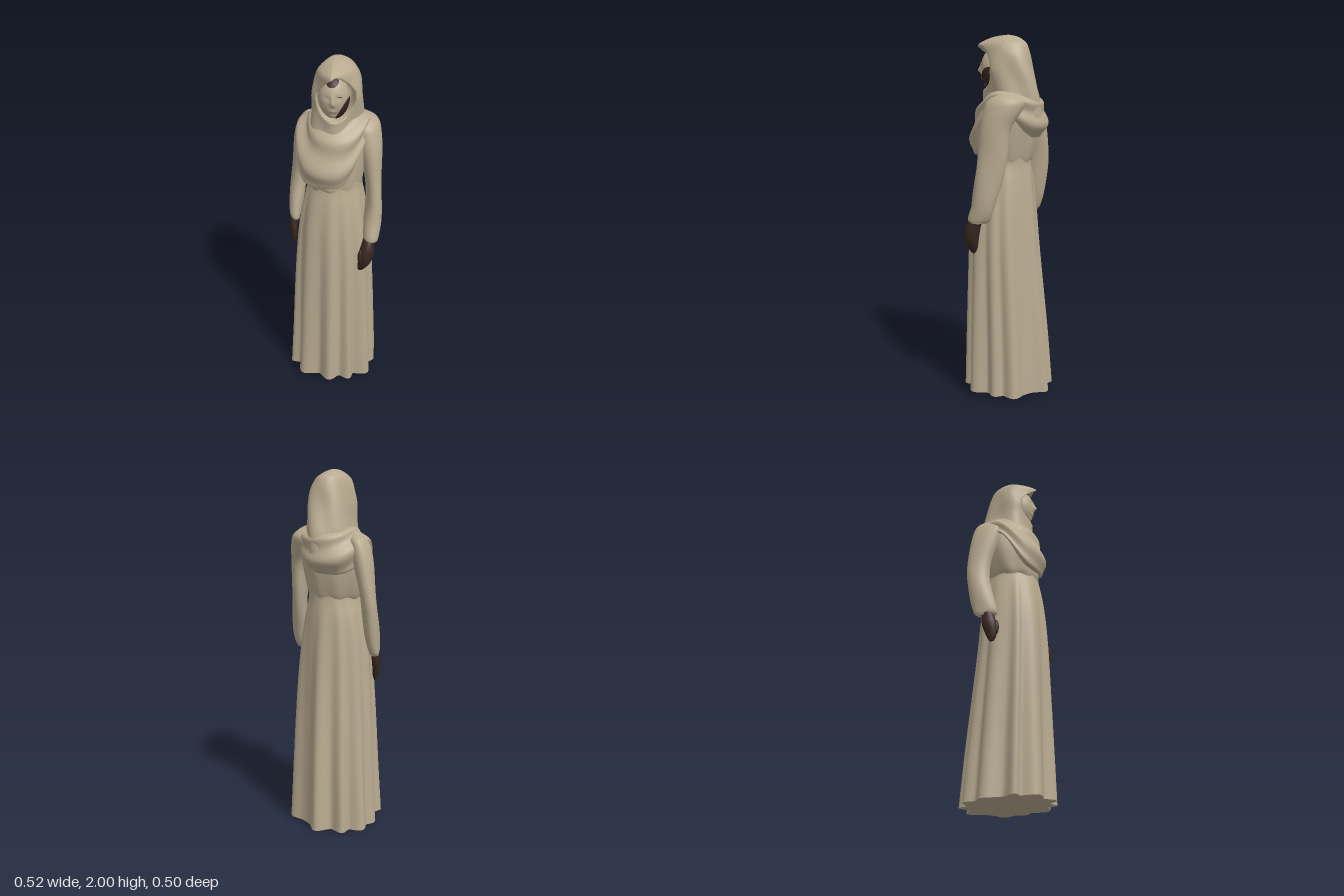
import * as THREE from 'three';

const cloth = new THREE.MeshStandardMaterial({ color: 0xb8aa90, side: THREE.DoubleSide });
cloth.name = 'beigeCloth';
const dark = new THREE.MeshStandardMaterial({ color: 0x38271f, side: THREE.DoubleSide });
dark.name = 'darkSkin';

const gauss = (d, w) => Math.exp(-(d * d) / (w * w));
const angleGap = (a, b) => Math.atan2(Math.sin(a - b), Math.cos(a - b));
const { smoothstep, lerp } = THREE.MathUtils;

// The upper body is turned slightly towards its right
const yaw = 0.3, up = new THREE.Vector3(0, 1, 0);
const turn = p => p.applyAxisAngle(up, -yaw);

// Smooth closed body through oval rings [y, xMin, xMax, zFront, zBack], listed
// bottom to top. fold(angle, t, y) swells a ring; shift(point, angle, t) bends it.
function loft(name, material, rings, { seg = 24, rows = 24, fold = () => 0, shift = () => {} } = {}) {
  const xs = new THREE.CatmullRomCurve3(rings.map(r => new THREE.Vector3(r[1], r[0], r[2])), false, 'catmullrom', 0.5);
  const zs = new THREE.CatmullRomCurve3(rings.map(r => new THREE.Vector3(r[3], r[0], r[4])), false, 'catmullrom', 0.5);
  const pos = [], index = [];
  for (let i = 0; i <= rows; i++) {
    const t = i / rows, a = xs.getPoint(t), b = zs.getPoint(t);
    for (let j = 0; j < seg; j++) {
      const th = j / seg * Math.PI * 2, s = Math.sin(th), c = Math.cos(th), f = fold(th, t, a.y);
      const p = new THREE.Vector3(
        (a.x + a.z) / 2 + s * ((a.z - a.x) / 2 + f), a.y,
        (b.x + b.z) / 2 + c * ((b.x - b.z) / 2 + f));
      shift(p, th, t);
      pos.push(p.x, p.y, p.z);
      if (i < rows) {
        const k = (j + 1) % seg, q = i * seg;
        index.push(q + j, q + k, q + seg + k, q + j, q + seg + k, q + seg + j);
      }
    }
  }
  // End caps with their own corners so the rims stay crisp
  for (const row of [0, rows]) {
    const start = pos.length / 3, mid = [0, 0, 0];
    for (let j = 0; j < seg; j++) for (let k = 0; k < 3; k++) {
      const v = pos[(row * seg + j) * 3 + k];
      pos.push(v);
      mid[k] += v / seg;
    }
    pos.push(...mid);
    for (let j = 0; j < seg; j++) {
      const k = (j + 1) % seg;
      index.push(start + seg, ...(row ? [start + j, start + k] : [start + k, start + j]));
    }
  }
  const g = new THREE.BufferGeometry();
  g.setAttribute('position', new THREE.Float32BufferAttribute(pos, 3));
  g.setIndex(index);
  g.computeVertexNormals();
  const mesh = new THREE.Mesh(g, material);
  mesh.name = name;
  return mesh;
}

function ellipsoid(name, material, center, size, geometry = new THREE.SphereGeometry(1, 24, 18)) {
  const mesh = new THREE.Mesh(geometry, material);
  mesh.name = name;
  mesh.position.set(...center);
  mesh.scale.set(...size);
  return mesh;
}

// Round patch of a unit sphere facing a direction
function patch(dir, angle) {
  const g = new THREE.SphereGeometry(1, 24, 8, 0, Math.PI * 2, 0, angle);
  return g.applyQuaternion(new THREE.Quaternion().setFromUnitVectors(up, new THREE.Vector3(...dir).normalize()));
}

function createSkirt() {
  // Pleats sticking out at the hem: [x, z, depth, half width in radians]
  const pleats = [[-0.265, 0.065, 0.055, 0.13], [-0.18, 0.17, 0.055, 0.26], [-0.03, 0.25, 0.05, 0.2],
    [0.09, 0.25, 0.055, 0.16], [0.2, 0.19, 0.07, 0.26], [0.26, 0.06, 0.045, 0.2], [0.26, -0.06, 0.055, 0.22],
    [0.1, -0.235, 0.055, 0.2], [-0.05, -0.255, 0.055, 0.16], [-0.15, -0.2, 0.06, 0.22], [-0.22, -0.11, 0.04, 0.25]]
    .map(([x, z, d, w]) => [Math.atan2(x, z), d, w]);
  return loft('skirt', cloth, [
    [0.0, -0.215, 0.215, 0.205, -0.2],
    [0.3, -0.205, 0.21, 0.205, -0.185],
    [0.6, -0.198, 0.205, 0.205, -0.165],
    [0.85, -0.19, 0.198, 0.205, -0.15],
    [1.05, -0.179, 0.186, 0.2, -0.142],
    [1.2, -0.158, 0.17, 0.188, -0.134],
    [1.29, -0.138, 0.158, 0.176, -0.125],
    [1.35, -0.13, 0.157, 0.17, -0.122],
  ], {
    seg: 120, rows: 36,
    fold: (th, t, y) => Math.pow(Math.max(0, 1 - y / 1.3), 0.75)
      * Math.max(...pleats.map(([a, d, w]) => d * gauss(angleGap(th, a), w))),
    shift: (p, th, t) => { p.y += (1 - t) * 0.014 * (1 + Math.cos(th)); },
  });
}

function createScarf() {
  const scarf = new THREE.Group();
  scarf.name = 'headscarf';
  // Hood with a peaked brim and a hollow for the face
  scarf.add(loft('hood', cloth, [
    [1.56, -0.13, 0.165, 0.15, -0.185],
    [1.66, -0.115, 0.158, 0.138, -0.178],
    [1.74, -0.103, 0.155, 0.142, -0.16],
    [1.82, -0.1, 0.153, 0.155, -0.138],
    [1.89, -0.09, 0.143, 0.168, -0.122],
    [1.94, -0.076, 0.122, 0.175, -0.107],
    [1.965, -0.058, 0.1, 0.15, -0.09],
    [1.99, -0.025, 0.055, 0.085, -0.05],
    [2.0, 0.005, 0.025, 0.02, -0.005],
  ], {
    seg: 96, rows: 80,
    fold: (th, t) => 0.007 * Math.sin(5 * th + 6 * t) * (1 - smoothstep(t, 0.3, 0.65)),
    shift: (p, th) => {
      const c = Math.cos(th);
      if (c > 0) {
        const peak = 0.55 * smoothstep(p.y, 1.8, 1.92);
        p.z = lerp(p.z, p.z * (1 - Math.abs(Math.sin(th)) * 0.75), peak);
      }
      p.x -= 0.2 * p.z;
      const dx = p.x - 0.004, narrow = p.y > 1.84 ? 1 - 0.5 * (p.y - 1.84) / 0.105 : 1;
      const d = Math.hypot(dx / ((dx > 0 ? 0.106 : 0.09) * narrow), (p.y - 1.825) / 0.118);
      if (p.z > 0.03) p.z = lerp(0.03, p.z, smoothstep(d, 0.88, 1.03));
    },
  }));
  // Draped cowl, hanging low at the front and back and lifted over the shoulders
  scarf.add(loft('cowl', cloth, [
    [1.48, -0.13, 0.14, 0.14, -0.1],
    [1.45, -0.18, 0.17, 0.195, -0.165],
    [1.5, -0.195, 0.185, 0.215, -0.205],
    [1.57, -0.185, 0.195, 0.2, -0.212],
    [1.63, -0.155, 0.19, 0.168, -0.198],
    [1.675, -0.118, 0.155, 0.135, -0.17],
    [1.71, -0.09, 0.13, 0.1, -0.13],
  ], {
    seg: 80, rows: 56,
    fold: (th, t) => 0.009 * Math.sin(t * 19 + 1.3 * Math.sin(th) + 0.8 * Math.cos(2 * th)) * smoothstep(t, 0.1, 0.3)
      + 0.012 * Math.sin(2 * th) ** 2 * Math.max(0, Math.cos(th)) * (1 - t),
    shift: (p, th, t) => {
      const front = smoothstep(Math.cos(th), 0, 0.9);
      p.y += (1 - t) * (0.13 * Math.sin(th) ** 4 - 0.125 * front) + 0.008 * Math.sin(th);
      turn(p);
    },
  }));
  return scarf;
}

function createHead() {
  const head = new THREE.Group();
  head.name = 'head';
  const center = [0, 1.82, 0.075], size = [0.079, 0.113, 0.081];
  const grow = k => size.map(s => s * k);
  // Face modelled by pushing a sphere: [x, y, width, height, push]
  const features = [[-0.08, -0.08, 0.11, 0.13, 0.2], [-0.08, 0.12, 0.08, 0.2, 0.1], [-0.08, -0.46, 0.22, 0.07, 0.09],
    [-0.08, -0.8, 0.28, 0.16, 0.13], [-0.42, 0.15, 0.18, 0.1, -0.07], [0.3, 0.15, 0.18, 0.1, -0.07]];
  const sphere = new THREE.SphereGeometry(1, 64, 48), at = sphere.attributes.position;
  for (let i = 0; i < at.count; i++) {
    const x = at.getX(i), y = at.getY(i), z = at.getZ(i);
    if (z > 0) at.setZ(i, z + features.reduce((s, [fx, fy, w, h, push]) => s + push * gauss(x - fx, w) * gauss(y - fy, h), 0));
  }
  sphere.computeVertexNormals();
  head.add(ellipsoid('face', cloth, center, size, sphere));
  head.add(ellipsoid('jawShade', dark, center, grow(1.05), patch([0.8, -0.66, 0.28], 0.74)));
  head.add(ellipsoid('hairline', dark, center, grow(1.04), patch([-0.08, 0.88, 0.5], 0.4)));
  head.add(ellipsoid('leftLashes', dark, [0.03, 1.843, 0.146], [0.015, 0.002, 0.003]));
  return head;
}

function createArms() {
  const arms = new THREE.Group();
  arms.name = 'arms';
  const wrinkle = { seg: 28, rows: 36, fold: (th, t) => 0.004 * Math.sin(2 * th + 16 * t) * (1 - t) };
  arms.add(loft('leftSleeve', cloth, [
    [0.995, 0.165, 0.24, 0.185, 0.095],
    [1.02, 0.158, 0.252, 0.2, 0.08],
    [1.1, 0.165, 0.26, 0.182, 0.05],
    [1.22, 0.174, 0.26, 0.162, 0.012],
    [1.35, 0.165, 0.259, 0.145, -0.012],
    [1.5, 0.14, 0.257, 0.138, -0.03],
    [1.6, 0.1, 0.252, 0.12, -0.09],
    [1.65, 0.09, 0.24, 0.1, -0.1],
    [1.685, 0.13, 0.2, 0.05, -0.05],
  ], wrinkle));
  arms.add(loft('rightSleeve', cloth, [
    [1.0, -0.24, -0.192, -0.045, -0.14],
    [1.03, -0.25, -0.18, -0.035, -0.16],
    [1.12, -0.245, -0.165, -0.05, -0.19],
    [1.25, -0.233, -0.148, -0.08, -0.208],
    [1.37, -0.223, -0.13, -0.075, -0.208],
    [1.5, -0.21, -0.1, -0.03, -0.2],
    [1.59, -0.192, -0.07, 0.02, -0.185],
    [1.635, -0.165, -0.07, 0.0, -0.165],
    [1.66, -0.135, -0.09, -0.05, -0.12],
  ], wrinkle));
  arms.add(loft('leftHand', dark, [
    [0.805, 0.135, 0.155, 0.175, 0.155],
    [0.825, 0.128, 0.175, 0.197, 0.148],
    [0.88, 0.135, 0.208, 0.222, 0.15],
    [0.94, 0.14, 0.222, 0.227, 0.142],
    [0.99, 0.155, 0.222, 0.21, 0.13],
    [1.04, 0.172, 0.225, 0.175, 0.11],
  ]));
  arms.add(ellipsoid('leftThumb', dark, [0.144, 0.915, 0.203], [0.014, 0.045, 0.016]));
  arms.add(loft('rightHand', dark, [
    [0.85, -0.232, -0.215, -0.05, -0.075],
    [0.88, -0.24, -0.207, -0.035, -0.09],
    [0.94, -0.25, -0.205, -0.035, -0.112],
    [0.99, -0.247, -0.2, -0.045, -0.118],
    [1.05, -0.24, -0.2, -0.065, -0.12],
  ]));
  arms.add(ellipsoid('rightThumb', dark, [-0.222, 0.93, -0.036], [0.013, 0.042, 0.014]));
  return arms;
}

export function createModel() {
  const model = new THREE.Group();
  model.name = 'robedWoman';
  model.add(createSkirt());
  // Gathered top of the dress
  model.add(loft('bodice', cloth, [
    [1.3, -0.125, 0.15, 0.165, -0.118],
    [1.34, -0.145, 0.165, 0.175, -0.135],
    [1.44, -0.17, 0.182, 0.175, -0.158],
    [1.54, -0.18, 0.2, 0.155, -0.165],
    [1.62, -0.17, 0.21, 0.12, -0.15],
    [1.67, -0.1, 0.16, 0.08, -0.12],
    [1.69, -0.05, 0.09, 0.04, -0.07],
  ], { seg: 64, rows: 28, fold: (th, t) => 0.004 * Math.sin(9 * th + 5 * t) * (1 - t), shift: turn }));
  model.add(createArms(), createScarf(), createHead());
  return model;
}
